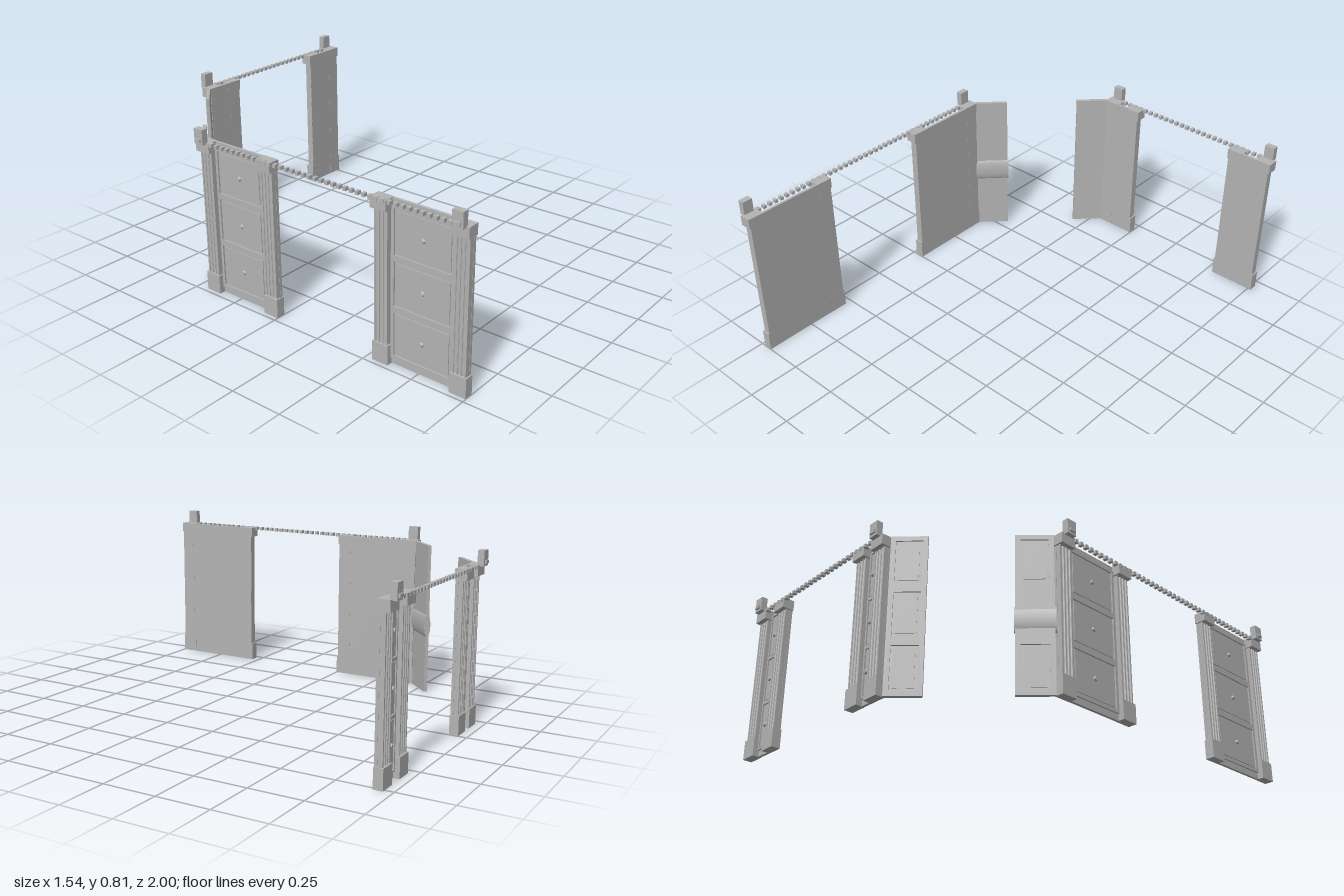
import * as THREE from 'three';

const stone = new THREE.MeshStandardMaterial({ color: 0xb4b4b4 });
stone.name = 'greyStone';
const H = 0.74;

function add(parent, name, geometry, x = 0, y = 0, z = 0) {
  const mesh = new THREE.Mesh(geometry, stone);
  mesh.name = name;
  mesh.position.set(x, y, z);
  parent.add(mesh);
  return mesh;
}

// box given by centre x, bottom and top, back and front
function block(parent, name, x, w, y0, y1, z0, z1) {
  return add(parent, name, new THREE.BoxGeometry(w, y1 - y0, z1 - z0), x, (y0 + y1) / 2, (z0 + z1) / 2);
}

function rect(path, x0, y0, x1, y1) {
  path.moveTo(x0, y0);
  path.lineTo(x1, y0);
  path.lineTo(x1, y1);
  path.lineTo(x0, y1);
  path.closePath();
  return path;
}

// shaft with three round flutes on its outer face, running upward
function flutedShaft(width, depth, height) {
  const s = new THREE.Shape();
  const h = width / 2, r = 0.007;
  s.moveTo(-h, 0);
  s.lineTo(h, 0);
  s.lineTo(h, -depth);
  for (const c of [0.019, 0, -0.019]) {
    s.lineTo(c + r, -depth);
    s.absarc(c, -depth, r, 0, Math.PI, false);
  }
  s.lineTo(-h, -depth);
  s.closePath();
  const g = new THREE.ExtrudeGeometry(s, { depth: height, bevelEnabled: false, curveSegments: 6 });
  g.rotateX(-Math.PI / 2);
  return g;
}

// frame with one opening per row and a raised field in each
function panelling(parent, w, y0, y1, z, rows, margin, knobs) {
  const frame = rect(new THREE.Shape(), -w / 2, y0, w / 2, y1);
  const step = (y1 - y0) / rows.count;
  for (let i = 0; i < rows.count; i++) {
    if (rows.skip === i) continue;
    const a = y0 + i * step + margin, b = y0 + (i + 1) * step - margin;
    frame.holes.push(rect(new THREE.Path(), -w / 2 + margin, a, w / 2 - margin, b));
    block(parent, 'panelField', 0, w - margin * 3.2, a + margin * 0.6, b - margin * 0.6, z, z + 0.004);
    if (knobs) {
      const knob = new THREE.CylinderGeometry(0.007, 0.011, 0.008, 12);
      knob.rotateX(Math.PI / 2);
      add(parent, 'panelBoss', knob, 0, (a + b) / 2, z + 0.008);
    }
  }
  add(parent, 'panelFrame', new THREE.ExtrudeGeometry(frame, { depth: 0.007, bevelEnabled: false }), 0, 0, z);
}

// wall section: smooth inside at z = 0, decorated outside toward +z
function wall(name, length, postSide) {
  const g = new THREE.Group();
  g.name = name;
  block(g, 'wallPanel', 0, length - 0.012, 0, H, 0.001, 0.014);
  for (const side of [-1, 1]) {
    const x = side * (length / 2 - 0.04);
    block(g, 'pilasterBase', x, 0.08, 0, 0.09, 0, 0.043);
    add(g, 'pilasterShaft', flutedShaft(0.066, 0.036, 0.61), x, 0.085, 0.0005);
    block(g, 'pilasterCap', x, 0.08, 0.692, H + 0.001, 0, 0.056);
  }
  panelling(g, length - 0.16, 0.03, 0.715, 0.014, { count: 3 }, length < 0.3 ? 0.008 : 0.014, true);
  // square post on the outer end
  const px = postSide * (length / 2 - 0.04);
  block(g, 'cornerPost', px, 0.05, 0.735, 0.805, 0.046, 0.076);
  block(g, 'postPeg', px, 0.03, 0.747, 0.762, 0.074, 0.084);
  return g;
}

// angled end leaf, decorated toward +z
function wing(name, length, withRoll) {
  const g = new THREE.Group();
  g.name = name;
  block(g, 'wingLeaf', 0, length, 0, H, -0.005, 0.005);
  panelling(g, length, 0, H, 0.005, { count: 3, skip: withRoll ? 1 : -1 }, 0.022, false);
  if (withRoll) {
    const roll = new THREE.CylinderGeometry(0.06, 0.06, length + 0.01, 24);
    roll.rotateZ(Math.PI / 2);
    roll.scale(1, 1, 0.27);
    add(g, 'middleRoll', roll, 0, 0.34, 0.001);
  }
  return g;
}

// row of small blocks between two points in plan
function dentils(name, from, to) {
  const g = new THREE.Group();
  g.name = name;
  const a = new THREE.Vector3(...from), b = new THREE.Vector3(...to);
  const n = Math.round(a.distanceTo(b) / 0.0317);
  const geometry = new THREE.BoxGeometry(0.016, 0.016, 0.02);
  const turn = Math.abs(b.z - a.z) > 0.1 ? Math.PI / 2 : 0;
  for (let i = 0; i <= n; i++) {
    const p = a.clone().lerp(b, i / n);
    add(g, 'dentil', geometry, p.x, p.y, p.z).rotation.y = turn;
  }
  return g;
}

export function createModel() {
  const model = new THREE.Group();
  model.name = 'wallSections';
  const place = (part, x, z, turn) => {
    part.position.set(x, 0, z);
    part.rotation.y = turn;
    model.add(part);
  };
  // side wall, outside toward -x
  place(wall('sideWallRear', 0.442, -1), -0.686, -0.221, -Math.PI / 2);
  place(wall('sideWallFront', 0.465, 1), -0.686, 0.766, -Math.PI / 2);
  // back wall, outside toward -z
  place(wall('backWallRight', 0.208, 1), -0.106, -0.917, Math.PI);
  place(wall('backWallLeft', 0.232, -1), 0.651, -0.917, Math.PI);
  // angled leaves facing the cut corner
  place(wing('sideWing', 0.163, true), -0.635, -0.498, -Math.PI * 0.75);
  place(wing('backWing', 0.158, false), -0.264, -0.868, -Math.PI * 0.75);
  // dentil rows bridging the openings
  model.add(dentils('sideDentils', [-0.734, 0.735, -0.35], [-0.734, 0.735, 0.91]));
  model.add(dentils('backDentils', [-0.12, 0.735, -0.966], [0.68, 0.735, -0.966]));
  return model;
}
